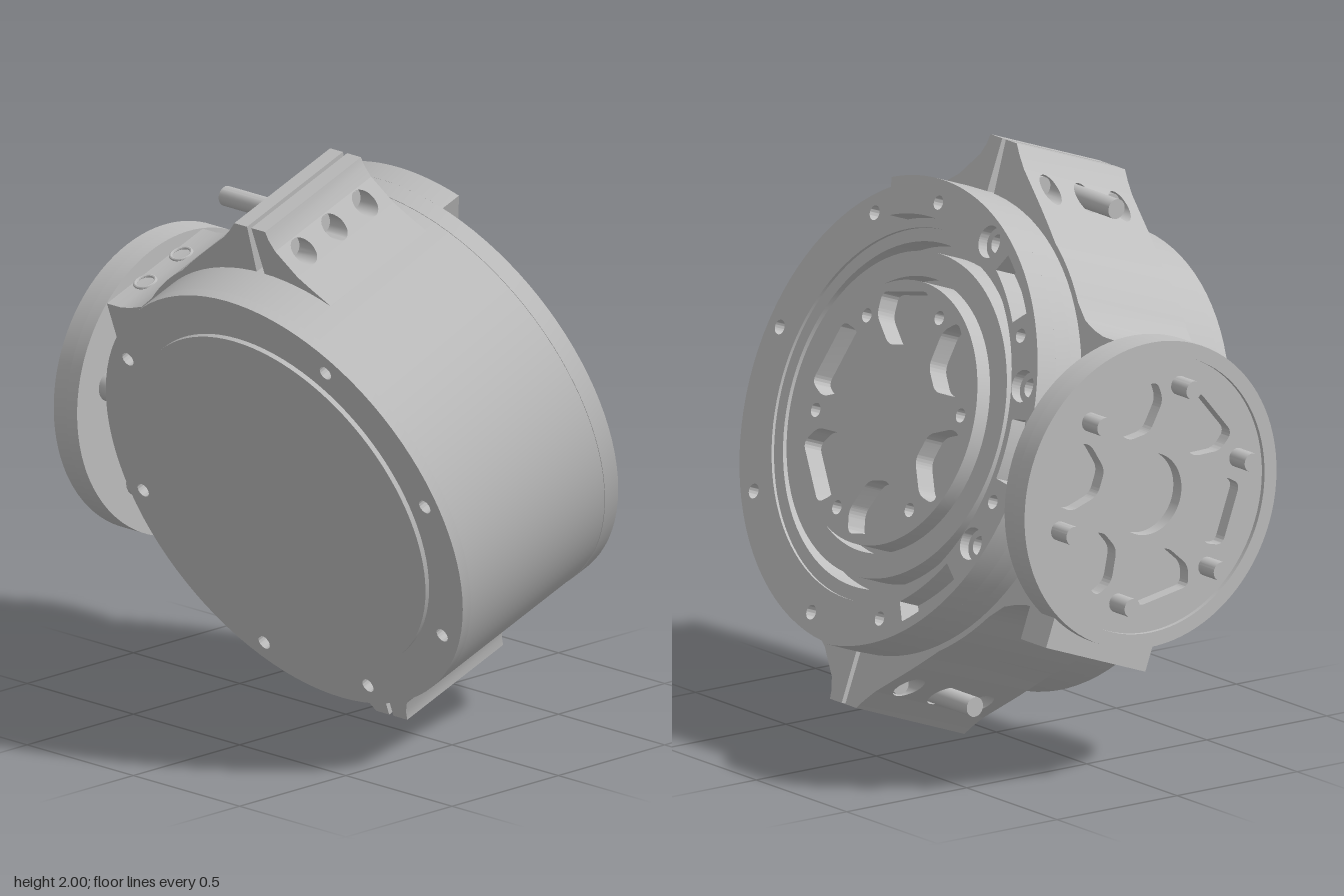
import * as THREE from 'three';
import { toCreasedNormals } from 'three/addons/utils/BufferGeometryUtils.js';

const AXIS_Z = 0.115;   // drum axis position along z
const rad = THREE.MathUtils.degToRad;
const six = [0, 60, 120, 180, 240, 300];

export function createModel() {
  const metal = new THREE.MeshStandardMaterial({ color: 0xbebebe });
  metal.name = 'grey metal';

  const model = new THREE.Group();
  model.name = 'clampedDrum';
  const tilted = new THREE.Group();
  tilted.name = 'tiltedAssembly';
  tilted.position.set(-0.01, 1, 0);
  tilted.rotation.z = rad(20);
  model.add(tilted);
  const drum = new THREE.Group();
  drum.name = 'drum';
  drum.position.z = AXIS_Z;
  tilted.add(drum);

  const add = (parent, name, geo) => {
    const mesh = new THREE.Mesh(toCreasedNormals(geo, 0.5), metal);
    mesh.name = name;
    parent.add(mesh);
  };

  // Angles run clockwise from straight up
  const polar = (r, deg) => [r * Math.sin(rad(deg)), r * Math.cos(rad(deg))];
  const phi = (deg) => rad(90 - deg);
  const circle = (r, x = 0, y = 0) => new THREE.Shape().absarc(x, y, r, 0, Math.PI * 2, false);
  const toShape = (pts) => new THREE.Shape(pts.map(([x, y]) => new THREE.Vector2(x, y)));
  const sector = (r0, r1, t0, t1) => {
    const s = new THREE.Shape();
    s.absarc(0, 0, r1, phi(t1), phi(t0), false);
    s.absarc(0, 0, r0, phi(t0), phi(t1), true);
    s.closePath();
    return s;
  };
  const holeAt = (r, ringR, deg) => circle(r, ...polar(ringR, deg));

  // Rounded six-cornered pocket, narrow towards the centre
  const pocket = (deg, k = 1) => {
    const pts = [[-0.05, 0.23], [0.05, 0.23], [0.13, 0.33], [0.118, 0.41], [-0.118, 0.41], [-0.13, 0.33]]
      .map(([x, y]) => new THREE.Vector2(x * k, y * k).rotateAround(new THREE.Vector2(), -rad(deg)));
    const s = new THREE.Shape();
    pts.forEach((p, i) => {
      const prev = pts[(i + 5) % 6], next = pts[(i + 1) % 6];
      const a = p.clone().lerp(prev, 0.028 / p.distanceTo(prev));
      const b = p.clone().lerp(next, 0.028 / p.distanceTo(next));
      if (i) s.lineTo(a.x, a.y); else s.moveTo(a.x, a.y);
      s.quadraticCurveTo(p.x, p.y, b.x, b.y);
    });
    s.closePath();
    return s;
  };

  const extrude = (shape, holes, depth, curveSegments = 48) => {
    shape.holes.push(...holes);
    return new THREE.ExtrudeGeometry(shape, { depth, bevelEnabled: false, curveSegments });
  };
  // Extrusion along the drum axis, from x0 to x1
  const alongX = (shape, holes, x0, x1) =>
    extrude(shape, holes, x1 - x0).rotateY(Math.PI / 2).translate(x0, 0, 0);
  const rod = (r, z0, z1, x, y) =>
    new THREE.CylinderGeometry(r, r, Math.abs(z1 - z0), 24).rotateX(Math.PI / 2).translate(x, y, (z0 + z1) / 2);

  // Turned drum body with end cap, two ring grooves and a raised centre
  const profile = [
    [0, -0.438], [0.645, -0.438], [0.645, -0.38], [0.795, -0.38], [0.795, 0.3], [0.635, 0.3],
    [0.635, 0.345], [0.59, 0.345], [0.59, 0.25], [0.555, 0.25], [0.555, 0.36], [0.47, 0.36],
    [0.47, 0.27], [0.45, 0.27], [0.45, 0.325], [0, 0.325],
  ].map(([r, x]) => new THREE.Vector2(r, x));
  add(drum, 'drumBody', new THREE.LatheGeometry(profile, 96).rotateZ(-Math.PI / 2));

  // End flanges with bolt holes
  const arcBolts = [0, 57, 103, 155.5];
  const openBolts = [192, 237, 281.5, 326.5];
  add(drum, 'rightFlange', alongX(circle(0.797), [circle(0.635),
    ...arcBolts.map((a) => holeAt(0.024, 0.72, a)),
    ...openBolts.map((a) => holeAt(0.025, 0.733, a))], 0.29, 0.356));
  add(drum, 'leftFlange', alongX(circle(0.795), [circle(0.645),
    ...[55, 101, 154, ...openBolts].map((a) => holeAt(0.025, 0.725, a))], -0.42, -0.38));

  // Raised part ring with bolt holes, counterbores and slots
  const bores = [25.5, 71, 116];
  add(drum, 'raisedArc', alongX(sector(0.667, 0.797, -20, 175), [
    ...arcBolts.map((a) => holeAt(0.024, 0.72, a)),
    ...bores.map((a) => holeAt(0.055, 0.724, a)),
    sector(0.69, 0.762, 34, 52), sector(0.69, 0.762, 80, 97), sector(0.69, 0.762, 126, 147),
  ], 0.356, 0.437));
  for (const a of bores) {
    const [s, y] = polar(0.724, a);
    add(drum, 'counterboreSeat', alongX(circle(0.056, s, y), [circle(0.032, s, y)], 0.35, 0.4));
  }

  // Raised centre disc with six pockets
  add(drum, 'centreDisc', alongX(circle(0.45),
    [...six.map((a) => pocket(a - 12)), ...six.map((a) => holeAt(0.024, 0.375, a + 19))], 0.325, 0.398));

  // Rear clamp: ears (notched for the screw strip), band and neck in one cross-section
  const band = [];
  for (let a = 30; a <= 49; a += 2) band.push(polar(0.815, a));
  const upper = [[0.01, 0.978], [0.07, 0.978], [0.1, 0.945], [0.143, 0.905], [0.075, 0.905], [0.075, 0.82],
    [0.26, 0.82], [0.29, 0.798], [0.35, 0.752], ...band,
    [0.67, 0.495], [0.73, 0.475], [0.78, 0.465], [0.85, 0.465]];
  const inner = [];
  for (let a = 179; a >= 1; a -= 4) inner.push(polar(0.7, a));
  const outline = [...upper, ...upper.map(([s, y]) => [s, -y]).reverse(), ...inner];
  add(drum, 'rearClamp', alongX(toShape(outline), [], -0.24, 0.24));

  // Sloping ear strip with three screw bores along z; zBack and zFront depend on |y|
  const boreX = [-0.153, 0, 0.153];
  const screwStrip = (side, zBack, zFront) => {
    const rect = toShape([[-0.24, 0.82 * side], [0.24, 0.82 * side], [0.24, 0.905 * side], [-0.24, 0.905 * side]]);
    const geo = extrude(rect, boreX.map((x) => circle(0.04, x, 0.8625 * side)), 1, 14);
    const pos = geo.attributes.position;
    for (let i = 0; i < pos.count; i++) {
      const t = (0.905 - Math.abs(pos.getY(i))) / 0.085;   // 0 at the tip, 1 at the drum
      pos.setZ(i, pos.getZ(i) > 0.5 ? zFront(t) : zBack(t));
    }
    return geo;
  };

  // Front ears flaring into the drum, screw strips and clamp screws
  for (const side of [1, -1]) {
    const ear = [[-0.01, 0.978], [-0.075, 0.978], [-0.08, 0.945], [-0.098, 0.905], [-0.075, 0.905],
      [-0.075, 0.82], [-0.175, 0.82], [-0.23, 0.782], [-0.3, 0.737], [-0.2, 0.72], [-0.01, 0.72]]
      .map(([s, y]) => [s, y * side]);
    add(drum, 'frontEar', alongX(toShape(ear), [], -0.24, 0.24));
    add(drum, 'frontScrewStrip', screwStrip(side, () => 0.075, (t) => 0.098 + 0.077 * t));
    add(drum, 'rearScrewStrip', screwStrip(side, (t) => -0.143 - 0.117 * t, () => -0.075));
    for (const x of boreX) {
      const y = 0.8625 * side;
      add(tilted, 'clampScrewHead', rod(0.03, 0.18, 0.2, x, y));
      add(tilted, 'clampScrewEnd', rod(0.034, 0.05, x === 0 ? -0.26 : -0.04, x, y));
    }
  }

  // Round mounting plate at the back
  const plate = new THREE.Group();
  plate.name = 'mountingPlate';
  tilted.add(plate);
  add(plate, 'plateBase', extrude(circle(0.525), [], 0.05).translate(0, 0, -0.78));
  add(plate, 'plateRim', extrude(circle(0.525), [circle(0.475)], 0.06).translate(0, 0, -0.84));
  add(plate, 'plateFace', extrude(circle(0.476),
    [circle(0.14), ...six.map((a) => pocket(a + 30, 0.9))], 0.045).translate(0, 0, -0.825));
  for (const a of six) {
    const [x, y] = polar(0.377, a);
    add(plate, 'platePin', rod(0.032, -0.8, -0.91, x, y));
    add(plate, 'plateScrewHead', rod(0.052, -0.67, -0.74, x, y));
  }

  // Tab under the plate, and the bore rims on top of the neck
  add(plate, 'lowerTab', new THREE.BoxGeometry(0.44, 0.14, 0.14).translate(0, -0.51, -0.73));
  for (const x of [-0.09, 0.09]) {
    add(plate, 'neckBoreRim', new THREE.TorusGeometry(0.036, 0.006, 8, 24)
      .rotateX(Math.PI / 2).translate(x, 0.467, -0.69));
  }

  return model;
}
